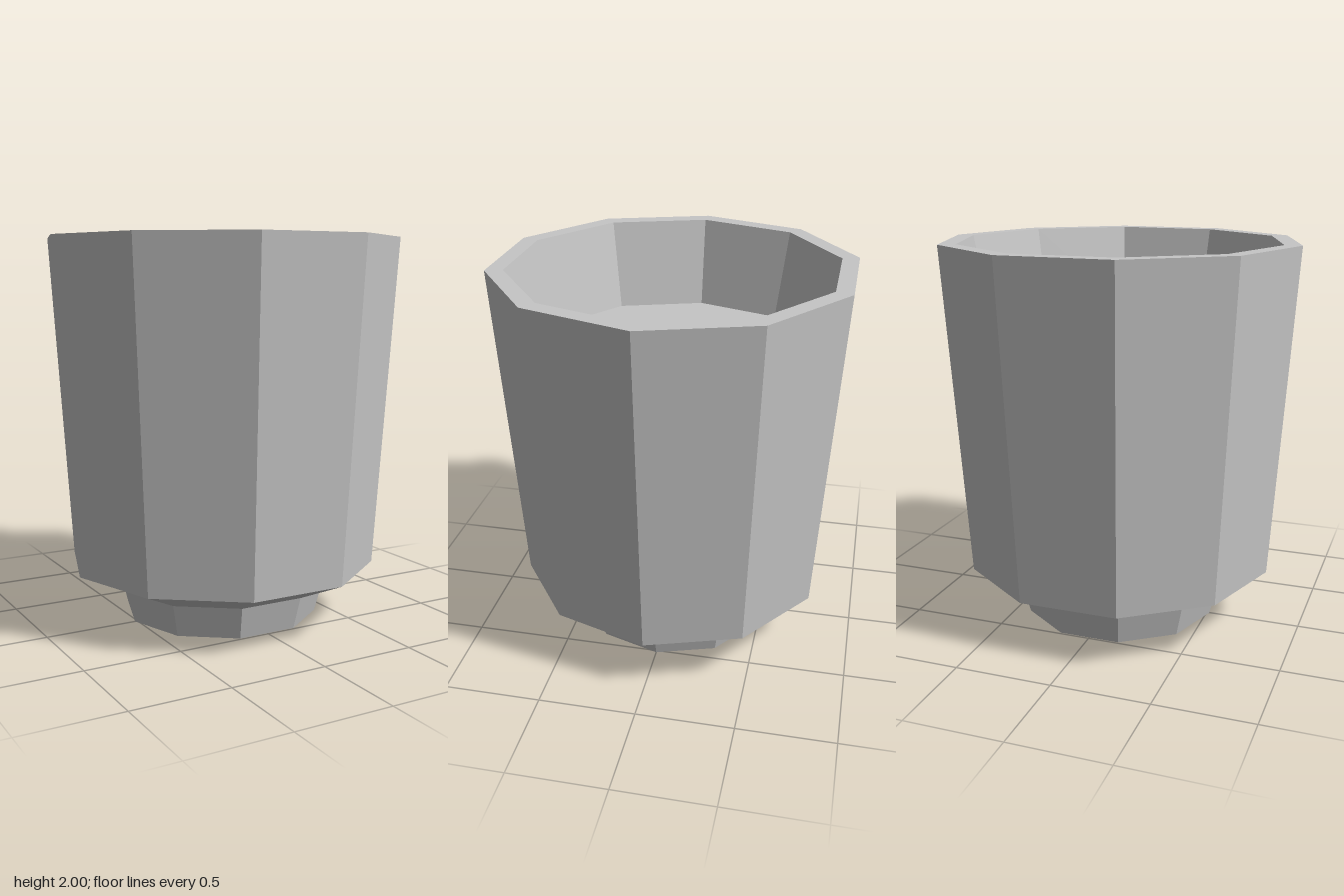
import * as THREE from 'three';

const SIDES = 10;

export function createModel() {
  const group = new THREE.Group();
  group.name = 'cup';
  const grey = new THREE.MeshStandardMaterial({ color: 0xc6c6c6, flatShading: true });
  grey.name = 'light grey';

  // Ten-sided faceted ring from a [radius, height] profile, with corners on the x axis
  function addPart(name, profile) {
    const points = profile.map(([r, y]) => new THREE.Vector2(r, y));
    const geometry = new THREE.LatheGeometry(points, SIDES, Math.PI / 2).toNonIndexed();
    geometry.computeVertexNormals();
    const mesh = new THREE.Mesh(geometry, grey);
    mesh.name = name;
    group.add(mesh);
  }

  // Narrow foot with a closed underside
  addPart('foot', [[0, 0], [0.515, 0], [0.56, 0.17]]);
  // Flared shoulder and tall tapered wall
  addPart('outerWall', [[0.56, 0.17], [0.818, 0.285], [0.93, 2]]);
  // Flat rim
  addPart('rim', [[0.93, 2], [0.84, 2]]);
  // Shallow recess with a flat floor
  addPart('recess', [[0.84, 2], [0.747, 1.54], [0, 1.54]]);

  return group;
}
